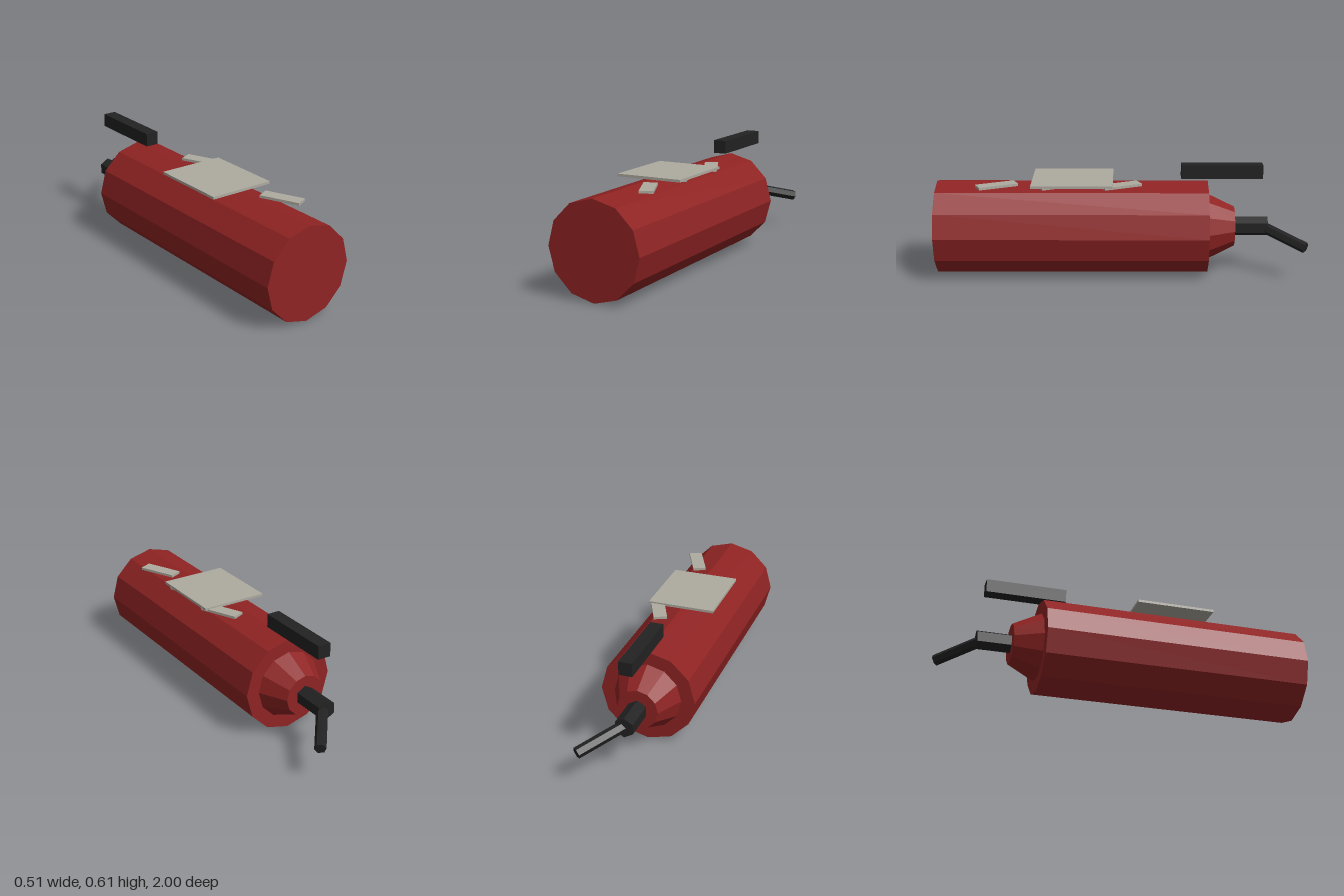
import * as THREE from 'three';

const red = new THREE.MeshStandardMaterial({ name: 'tank red', color: 0x8f2323, flatShading: true });
const black = new THREE.MeshStandardMaterial({ name: 'valve black', color: 0x222222, flatShading: true });
const grey = new THREE.MeshStandardMaterial({ name: 'label grey', color: 0xaeaaa0, flatShading: true });

const AXIS_Y = 0.256; // height of the tank's long axis

export function createModel() {
  const model = new THREE.Group();
  model.name = 'fireExtinguisher';

  const add = (name, geometry, material, x, y, z) => {
    const mesh = new THREE.Mesh(geometry, material);
    mesh.name = name;
    mesh.position.set(x, y, z);
    model.add(mesh);
    return mesh;
  };

  // Round part lying along z, from zFront to zBack
  const barrel = (name, rFront, rBack, zFront, zBack, sides, material) => {
    const geometry = new THREE.CylinderGeometry(rBack, rFront, zFront - zBack, sides);
    geometry.rotateX(-Math.PI / 2);
    return add(name, geometry, material, 0, AXIS_Y, (zFront + zBack) / 2);
  };

  // Tank, tapered shoulder and valve neck
  barrel('tank', 0.256, 0.256, 1, -0.465, 12, red);
  barrel('shoulder', 0.183, 0.11, -0.465, -0.612, 12, red);
  barrel('valveNeck', 0.054, 0.054, -0.612, -0.795, 6, black);

  // Nozzle bending away from the neck
  const start = new THREE.Vector3(0.005, 0.255, -0.765);
  const end = new THREE.Vector3(0.175, 0.188, -0.982);
  const along = end.clone().sub(start);
  const middle = start.clone().add(end).multiplyScalar(0.5);
  const nozzle = add('nozzle', new THREE.CylinderGeometry(0.03, 0.03, along.length(), 6),
    black, middle.x, middle.y, middle.z);
  nozzle.quaternion.setFromUnitVectors(new THREE.Vector3(0, 1, 0), along.normalize());

  // Carrying handle
  add('handle', new THREE.BoxGeometry(0.072, 0.073, 0.44), black, 0, 0.569, -0.54);

  // Label plate with three slanted strips beneath it
  add('label', new THREE.BoxGeometry(0.366, 0.014, 0.435), grey, 0, 0.523, 0.265);
  [0.005, 0.335, 0.667].forEach((z, i) => {
    const strip = add('labelStrip' + (i + 1), new THREE.BoxGeometry(0.072, 0.014, 0.217),
      grey, 0.11, 0.515, z);
    strip.rotation.y = 0.43;
  });

  return model;
}
